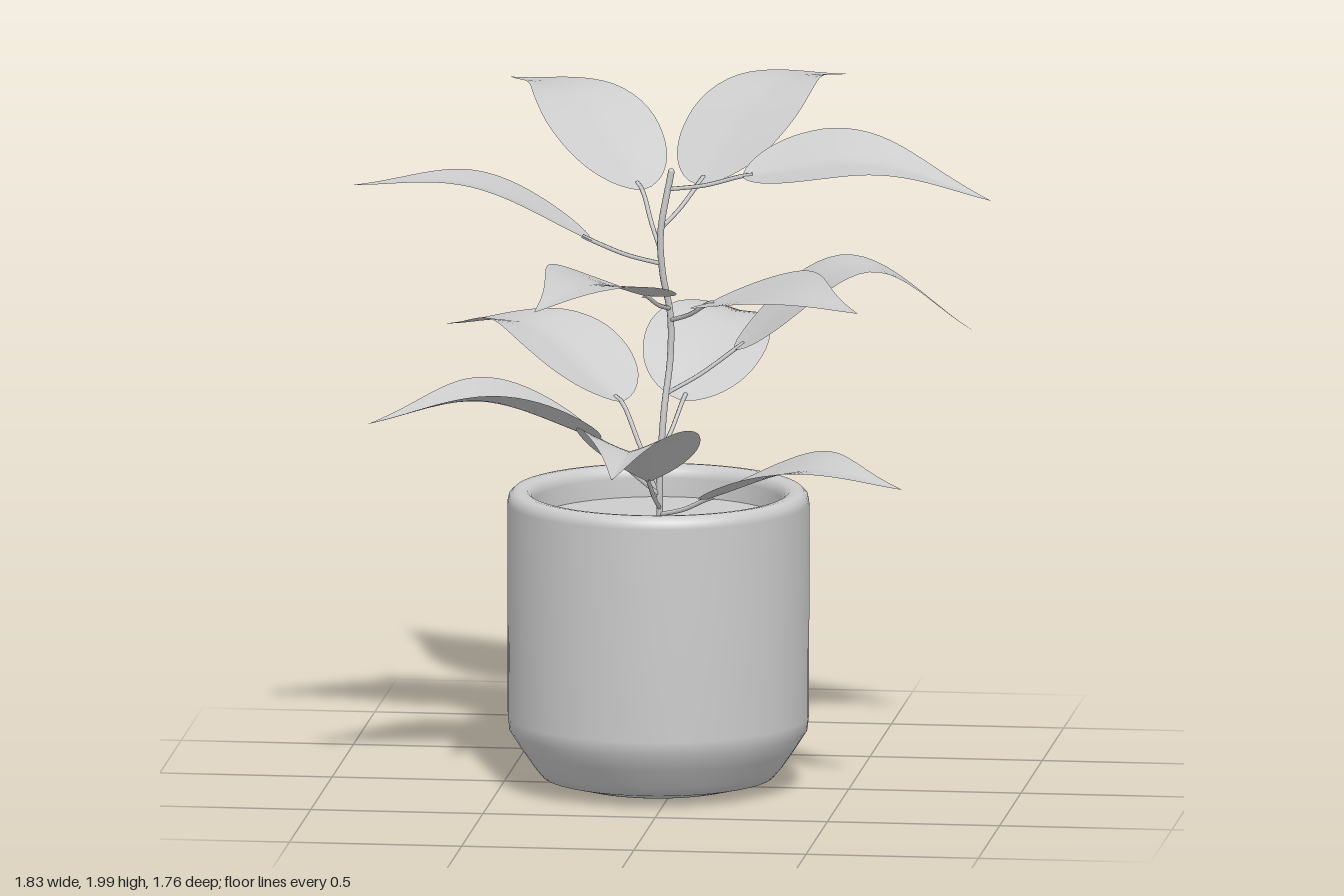
import * as THREE from 'three';

const grey = new THREE.MeshStandardMaterial({ color: 0xcccccc });
const thin = new THREE.MeshStandardMaterial({ color: 0xcccccc, side: THREE.DoubleSide });
const V = (a) => new THREE.Vector3(...a);

function addMesh(parent, name, geometry, material = grey) {
  const mesh = new THREE.Mesh(geometry, material);
  mesh.name = name;
  parent.add(mesh);
  return mesh;
}

// Main stem, gently wavering as it climbs out of the soil
const stemCurve = new THREE.CatmullRomCurve3([
  [-0.045, 0.76, 0.025], [-0.045, 0.9, 0.03], [-0.035, 1.1, 0.01], [-0.02, 1.25, -0.015],
  [-0.02, 1.38, -0.015], [-0.04, 1.5, 0], [-0.045, 1.62, 0.01], [-0.015, 1.8, 0],
].map(V));

function stemAt(y) {
  let best = stemCurve.getPoint(0);
  for (let i = 1; i <= 100; i++) {
    const p = stemCurve.getPoint(i / 100);
    if (Math.abs(p.y - y) < Math.abs(best.y - y)) best = p;
  }
  return best;
}

// Pointed leaf blade: rows across a curved midrib, folded into a shallow V
function bladeGeometry(midrib, width, fold, roll) {
  const rows = 26, cols = 10;
  const positions = [], index = [];
  const chord = midrib.getPoint(1).sub(midrib.getPoint(0)).setY(0).normalize();
  const side = new THREE.Vector3(-chord.z, 0, chord.x);
  for (let i = 0; i <= rows; i++) {
    const t = Math.pow(i / rows, 1.4);
    // Round near the stalk, drawn out to a slender tip
    const taper = 1 - 0.4 * THREE.MathUtils.smoothstep(t, 0.3, 0.9);
    const half = width * taper * Math.max(0, Math.sin(Math.PI * Math.pow(t, 0.6)));
    const p = midrib.getPoint(t);
    const tangent = midrib.getTangent(t);
    const across = side.clone().applyAxisAngle(tangent, roll);
    const up = new THREE.Vector3().crossVectors(across, tangent).normalize();
    for (let j = 0; j <= cols; j++) {
      const s = (j / cols) * 2 - 1;
      const lift = fold * half * Math.pow(Math.abs(s), 1.15);
      const q = p.clone().addScaledVector(across, s * half).addScaledVector(up, lift);
      positions.push(q.x, q.y, q.z);
    }
  }
  for (let i = 0; i < rows; i++) {
    for (let j = 0; j < cols; j++) {
      const a = i * (cols + 1) + j, b = a + cols + 1;
      index.push(a, a + 1, b, a + 1, b + 1, b);
    }
  }
  const geometry = new THREE.BufferGeometry();
  geometry.setAttribute('position', new THREE.Float32BufferAttribute(positions, 3));
  geometry.setIndex(index);
  geometry.computeVertexNormals();
  return geometry;
}

// Each leaf: height on stem, blade base, height at mid-blade, tip, fold, roll
const leaves = [
  { y: 0.80, base: [0.10, 0.86, 0.10], mid: 0.985, tip: [0.71, 0.965, 0.43], fold: 0.15, roll: 0.08 },
  { y: 0.82, base: [-0.06, 0.92, 0.17], mid: 1.08, tip: [-0.08, 1.06, 0.88], fold: 0.42, roll: 0 },
  { y: 0.86, base: [-0.21, 1.03, 0.11], mid: 1.16, tip: [-0.85, 1.11, 0.37], fold: 0.3, roll: 0 },
  { y: 0.88, base: [-0.17, 1.10, -0.10], mid: 1.275, tip: [-0.74, 1.23, -0.56], fold: 0.2, roll: 0 },
  { y: 0.98, base: [0.00, 1.10, -0.14], mid: 1.28, tip: [0.13, 1.215, -0.88], fold: 0.1, roll: 0.15 },
  { y: 1.15, base: [0.16, 1.27, -0.06], mid: 1.505, tip: [0.83, 1.30, -0.27], fold: 0.04, roll: 0 },
  { y: 1.36, base: [0.11, 1.44, 0.12], mid: 1.51, tip: [0.60, 1.51, 0.59], fold: 0.15, roll: 0.18 },
  { y: 1.40, base: [-0.07, 1.46, 0.14], mid: 1.56, tip: [-0.31, 1.54, 0.84], fold: 0.15, roll: -0.12 },
  { y: 1.53, base: [-0.24, 1.60, 0.04], mid: 1.77, tip: [-0.92, 1.77, 0.16], fold: 0.12, roll: 0 },
  { y: 1.57, base: [-0.12, 1.71, -0.17], mid: 1.94, tip: [-0.57, 1.93, -0.71], fold: 0.06, roll: 0 },
  { y: 1.63, base: [0.04, 1.73, -0.17], mid: 1.97, tip: [0.40, 1.945, -0.80], fold: 0.06, roll: 0 },
  { y: 1.75, base: [0.19, 1.79, -0.01], mid: 1.835, tip: [0.91, 1.73, -0.03], fold: 0.18, roll: 0.24 },
];

function makeLeaf({ y, base, mid, tip, fold, roll }) {
  const leaf = new THREE.Group();
  leaf.name = 'leaf';
  const b = V(base), e = V(tip);
  const m = b.clone().lerp(e, 0.52).setY(mid);
  const midrib = new THREE.CatmullRomCurve3([b, m, e]);
  addMesh(leaf, 'leafBlade', bladeGeometry(midrib, 0.178, fold, roll), thin);

  // Leaf stalk sweeping outwards from the stem
  const root = stemAt(y);
  const bend = root.clone().lerp(b, 0.5);
  bend.y -= 0.008;
  const stalk = new THREE.CatmullRomCurve3([root, bend, b, midrib.getPoint(0.04)]);
  addMesh(leaf, 'leafStalk', new THREE.TubeGeometry(stalk, 12, 0.0065, 6));
  return leaf;
}

export function createModel() {
  const plant = new THREE.Group();
  plant.name = 'pottedPlant';

  // Pot: rounded foot, straight wall, soft rim and hollow inside
  const pot = new THREE.Group();
  pot.name = 'pot';
  pot.position.set(-0.05, 0, 0.022);
  plant.add(pot);
  const profile = [
    [0, 0], [0.2, 0.002], [0.24, 0.01], [0.335, 0.035], [0.36, 0.065], [0.398, 0.12],
    [0.43, 0.17], [0.434, 0.21], [0.435, 0.5], [0.435, 0.835], [0.431, 0.855], [0.418, 0.868],
    [0.4, 0.87], [0.378, 0.867], [0.365, 0.855], [0.36, 0.835], [0.36, 0.74],
  ].map(([x, y]) => new THREE.Vector2(x, y));
  addMesh(pot, 'potBody', new THREE.LatheGeometry(profile, 64), thin);
  const soil = addMesh(pot, 'soil', new THREE.CircleGeometry(0.362, 48));
  soil.rotation.x = -Math.PI / 2;
  soil.position.y = 0.78;

  addMesh(plant, 'stem', new THREE.TubeGeometry(stemCurve, 48, 0.0095, 8));
  addMesh(plant, 'stemTip', new THREE.SphereGeometry(0.0095, 8, 6)).position.copy(stemCurve.getPoint(1));

  const foliage = new THREE.Group();
  foliage.name = 'foliage';
  leaves.forEach((spec) => foliage.add(makeLeaf(spec)));
  plant.add(foliage);
  return plant;
}
